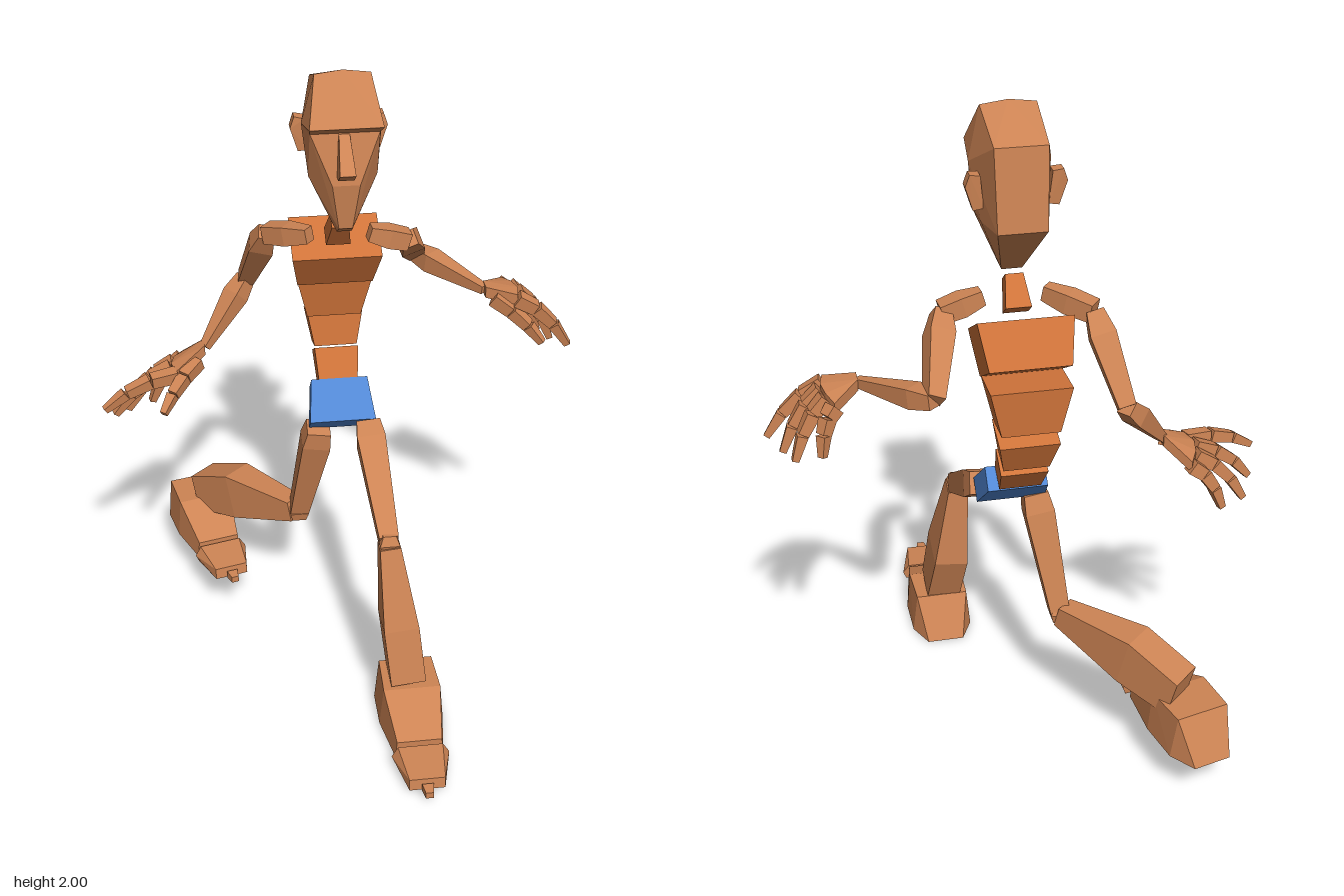
import * as THREE from 'three';
import { ConvexGeometry } from 'three/addons/geometries/ConvexGeometry.js';

const mat = (color) => new THREE.MeshStandardMaterial({ color, flatShading: true });
const V = (p) => new THREE.Vector3(...p);

export function createModel() {
  const model = new THREE.Group();
  const skin = mat(0xcd8454), shirt = mat(0xd0743a), blue = mat(0x5288d4);

  // Faceted solid around a handful of corner points
  const solid = (parent, name, points, material = skin) => {
    const mesh = new THREE.Mesh(new ConvexGeometry(points), material);
    mesh.name = name;
    parent.add(mesh);
    return mesh;
  };

  // Corner points mirrored about the plane x = cx
  const mirrored = (half, cx = 0) =>
    half.flatMap(([x, y, z]) => [V([cx + x, y, z]), V([cx - x, y, z])]);

  // Tapered block from a to b; sections are [t, width, depth, forward offset]
  const limb = (parent, name, a, b, sections, material = skin, front = [0, 0, 1]) => {
    const A = V(a), B = V(b);
    const axis = B.clone().sub(A).normalize();
    const side = new THREE.Vector3().crossVectors(axis, V(front)).normalize();
    const fwd = new THREE.Vector3().crossVectors(side, axis);
    const pts = [];
    for (const [t, w, d, off = 0] of sections) {
      const c = A.clone().lerp(B, t).addScaledVector(fwd, off);
      for (const [i, j] of [[1, 1], [1, -1], [-1, 1], [-1, -1]]) {
        pts.push(c.clone().addScaledVector(side, i * w / 2).addScaledVector(fwd, j * d / 2));
      }
    }
    return solid(parent, name, pts, material);
  };

  // Torso: blocks stacked along an arched spine
  limb(model, 'pelvis', [0.015, 0.803, -0.135], [0.015, 0.9, -0.238], [[0, 0.21, 0.075], [1, 0.18, 0.075]], blue);
  limb(model, 'waist', [0.012, 0.905, -0.245], [0.012, 0.99, -0.3], [[0, 0.125, 0.075], [1, 0.14, 0.09]], shirt);
  limb(model, 'abdomen', [0.01, 1.005, -0.308], [0.01, 1.11, -0.343], [[0, 0.135, 0.09], [1, 0.175, 0.12]], shirt);
  limb(model, 'ribs', [0.007, 1.125, -0.338], [0.007, 1.265, -0.33], [[0, 0.17, 0.12], [1, 0.235, 0.15]], shirt);
  limb(model, 'chest', [0.007, 1.29, -0.32], [0.007, 1.41, -0.25], [[0, 0.235, 0.16], [1, 0.275, 0.16]], shirt);
  limb(model, 'neck', [0.01, 1.43, -0.215], [0.01, 1.51, -0.155], [[0, 0.075, 0.06], [1, 0.052, 0.05]], shirt);

  // Head: cranium with overhanging brow, tapered face, nose and ears
  const head = new THREE.Group();
  head.name = 'head';
  model.add(head);
  const cx = 0.01;
  solid(head, 'cranium', mirrored([
    [0.08, 1.99, -0.09], [0, 2, -0.09], [0.105, 1.865, 0.012], [0.1, 1.84, -0.025],
    [0.116, 1.84, -0.11], [0.075, 1.925, -0.265], [0.07, 1.69, -0.29],
  ], cx));
  solid(head, 'face', mirrored([
    [0.1, 1.84, -0.03], [0.116, 1.84, -0.11], [0.04, 1.69, 0], [0.1, 1.69, -0.08],
    [0.095, 1.69, -0.18], [0.02, 1.55, -0.015], [0.022, 1.525, -0.05],
    [0.03, 1.525, -0.14], [0.07, 1.69, -0.29],
  ], cx));
  solid(head, 'nose', mirrored([
    [0.016, 1.835, -0.03], [0.016, 1.825, -0.012], [0.023, 1.745, 0.062],
    [0.023, 1.715, 0.02], [0.023, 1.715, -0.02],
  ], cx - 0.003));
  for (const s of [1, -1]) {
    solid(head, s > 0 ? 'leftEar' : 'rightEar', [
      [0.1, 1.83, -0.165], [0.13, 1.835, -0.172], [0.1, 1.83, -0.205], [0.13, 1.835, -0.208],
      [0.142, 1.8, -0.17], [0.142, 1.8, -0.205],
      [0.09, 1.735, -0.165], [0.12, 1.73, -0.17], [0.09, 1.735, -0.2], [0.12, 1.73, -0.2],
    ].map(([x, y, z]) => V([cx + s * x, y, z])));
  }

  // Hand: palm, four curled fingers and a thumb; digits are [base, tip]
  const hand = (parent, wrist, digits) => {
    const g = new THREE.Group();
    g.name = 'hand';
    parent.add(g);
    const palm = [];
    for (const dy of [-0.018, 0.018]) {
      for (const dz of [-0.022, 0.022]) palm.push(V(wrist).add(V([0, dy, dz])));
      digits.slice(0, 4).forEach(([base], i) => palm.push(V(base).add(V([0, dy, 0.01 - 0.007 * i]))));
    }
    solid(g, 'palm', palm);
    digits.forEach(([base, tip], i) => {
      const A = V(base), B = V(tip), thumb = i === 4;
      const knuckle = A.clone().lerp(B, 0.5).add(V([0, thumb ? 0.015 : 0.045, 0]));
      knuckle.x += Math.sign(wrist[0]) * 0.015;
      const curve = new THREE.QuadraticBezierCurve3(A, knuckle, B);
      const n = 3, w = [0.042, 0.038, 0.032, 0.02];
      for (let k = 0; k < n; k++) {
        const a = curve.getPoint(k / n).toArray();
        const b = curve.getPoint((k + 0.94) / n).toArray();
        limb(g, thumb ? 'thumbJoint' : 'fingerJoint', a, b,
          [[0, w[k], w[k]], [1, w[k + 1], w[k + 1]]], skin, [0, 1, 0.1]);
      }
    });
  };

  // Arm: collar, upper arm, forearm and hand
  const arm = (name, collar, shoulder, elbow, wrist, digits) => {
    const g = new THREE.Group();
    g.name = name;
    model.add(g);
    limb(g, 'collar', collar, shoulder, [[0, 0.04, 0.045], [0.5, 0.06, 0.06], [1, 0.055, 0.055]], skin, [0, 1, 0]);
    limb(g, 'upperArm', shoulder, elbow, [[0, 0.05, 0.05], [0.25, 0.075, 0.07], [1, 0.05, 0.05]]);
    limb(g, 'forearm', elbow, wrist, [[0, 0.045, 0.045], [0.25, 0.062, 0.06], [1, 0.026, 0.026]], skin, [0, 1, 0]);
    hand(g, wrist, digits);
  };
  arm('leftArm', [0.1, 1.46, -0.165], [0.22, 1.425, -0.175], [0.28, 1.27, -0.4], [0.465, 1.235, -0.18], [
    [[0.56, 1.22, -0.135], [0.73, 1.05, -0.12]],
    [[0.57, 1.22, -0.18], [0.69, 1.035, -0.195]],
    [[0.56, 1.215, -0.225], [0.66, 1.035, -0.255]],
    [[0.54, 1.205, -0.265], [0.585, 1.07, -0.31]],
    [[0.49, 1.22, -0.15], [0.64, 1.08, -0.09]],
  ]);
  arm('rightArm', [-0.08, 1.46, -0.17], [-0.2, 1.43, -0.265], [-0.26, 1.2, -0.42], [-0.405, 1.02, -0.305], [
    [[-0.5, 0.965, -0.235], [-0.735, 0.885, -0.175]],
    [[-0.515, 0.965, -0.28], [-0.705, 0.82, -0.25]],
    [[-0.505, 0.96, -0.325], [-0.665, 0.79, -0.325]],
    [[-0.48, 0.95, -0.365], [-0.585, 0.79, -0.365]],
    [[-0.43, 0.99, -0.265], [-0.55, 0.89, -0.12]],
  ]);

  // Foot: heel wedge, toe block and tip, standing on y = 0 with the ankle at the origin
  const foot = (parent, x, y, z, yaw) => {
    const g = new THREE.Group();
    g.name = 'foot';
    g.position.set(x, y, z);
    g.rotation.y = yaw;
    parent.add(g);
    solid(g, 'heel', mirrored([
      [0.09, 0.145, 0.07], [0.085, 0.145, -0.07], [0.1, 0.005, -0.06], [0.06, 0.003, -0.14],
      [0.102, 0.01, 0.07], [0.07, 0.07, 0.225], [0.075, 0.012, 0.225],
    ]));
    solid(g, 'toes', mirrored([
      [0.07, 0.065, 0.24], [0.09, 0.035, 0.245], [0.08, 0.01, 0.245],
      [0.055, 0.055, 0.37], [0.055, 0.018, 0.375],
    ]));
    solid(g, 'toeTip', mirrored([
      [0.018, 0.045, 0.38], [0.018, 0.018, 0.38], [0.012, 0.042, 0.415], [0.012, 0.02, 0.415],
    ]));
  };

  // Leg: thigh, knee, calf and foot
  const leg = (name, hip, knee, ankle, shinFront, footPose) => {
    const g = new THREE.Group();
    g.name = name;
    model.add(g);
    limb(g, 'thigh', hip, knee, [[0, 0.075, 0.07], [0.15, 0.09, 0.085], [1, 0.06, 0.06]]);
    limb(g, 'knee', [knee[0], knee[1] + 0.03, knee[2]], [knee[0], knee[1] - 0.03, knee[2]],
      [[0, 0.04, 0.04], [0.5, 0.062, 0.065], [1, 0.045, 0.05]]);
    limb(g, 'calf', knee, ankle, [[0.03, 0.065, 0.07], [0.6, 0.11, 0.16, -0.017], [1, 0.11, 0.13]], skin, shinFront);
    foot(g, ...footPose);
  };
  leg('leftLeg', [0.095, 0.81, -0.11], [0.112, 0.605, 0.235], [0.16, 0.145, 0.33], [0, 0, 1],
    [0.168, 0, 0.33, 0]);
  leg('rightLeg', [-0.06, 0.785, -0.15], [-0.12, 0.4, -0.245], [-0.42, 0.29, -0.575], [0, -1, 0],
    [-0.445, 0.13, -0.595, 0.24]);

  return model;
}
